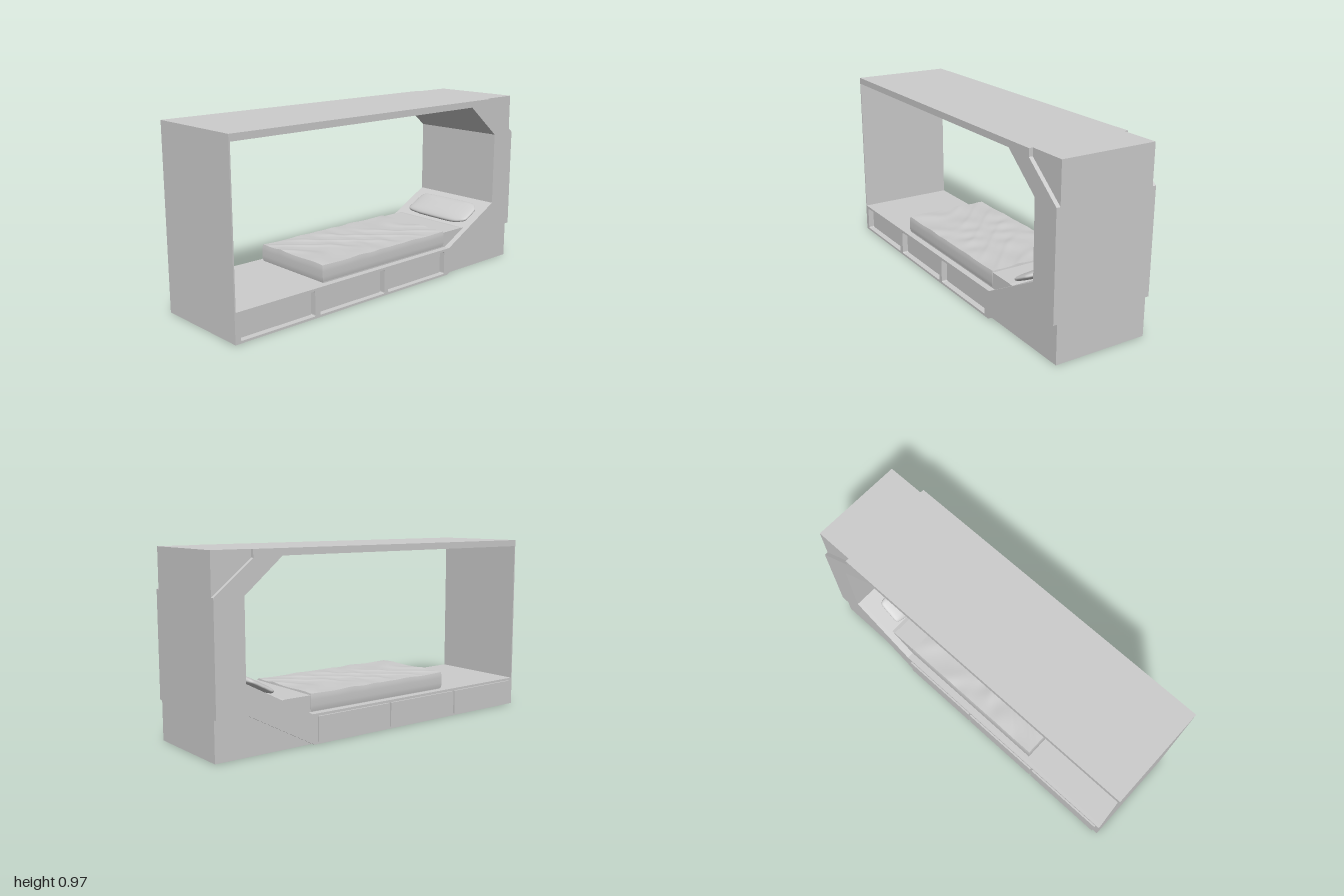
import * as THREE from 'three';

const grey = new THREE.MeshStandardMaterial({ color: 0xcccccc });
grey.name = 'plainGrey';

// Outlines are drawn as (-z, y) and extruded along x.
const OUTER = [[-1, 0], [1, 0], [1, 0.97], [-1, 0.97]];
const PANEL = [[-1, 0], [0.455, 0], [0.835, 0.205], [1, 0.205], [1, 0.76], [0.79, 0.93], [0.79, 0.97], [-1, 0.97]];
const OPENING = [[-0.993, 0.155], [0.465, 0.155], [0.84, 0.355], [0.84, 0.76], [0.63, 0.935], [-0.993, 0.935]];
const RECESSES = [-0.97, -0.493, -0.02];

const points = list => list.map(([u, v]) => new THREE.Vector2(u, v));

function roundedRect(Type, u, v, w, h, r) {
  const p = new Type();
  p.moveTo(u + r, v);
  p.lineTo(u + w - r, v);
  p.quadraticCurveTo(u + w, v, u + w, v + r);
  p.lineTo(u + w, v + h - r);
  p.quadraticCurveTo(u + w, v + h, u + w - r, v + h);
  p.lineTo(u + r, v + h);
  p.quadraticCurveTo(u, v + h, u, v + h - r);
  p.lineTo(u, v + r);
  p.quadraticCurveTo(u, v, u + r, v);
  return p;
}

function slab(name, shape, x0, x1) {
  const g = new THREE.ExtrudeGeometry(shape, { depth: x1 - x0, bevelEnabled: false, curveSegments: 4 });
  g.rotateY(Math.PI / 2).translate(x0, 0, 0);
  const mesh = new THREE.Mesh(g, grey);
  mesh.name = name;
  return mesh;
}

function frameShape(outline, withRecesses) {
  const s = new THREE.Shape(points(outline));
  s.holes.push(new THREE.Path(points(OPENING)));
  if (withRecesses) {
    for (const u of RECESSES) s.holes.push(roundedRect(THREE.Path, u, 0.012, 0.445, 0.13, 0.008));
  }
  return s;
}

// Bedding with soft creases pressed into its top face
function makeBlanket() {
  const g = new THREE.BoxGeometry(0.493, 0.09, 0.9, 50, 6, 90);
  const p = g.attributes.position;
  for (let i = 0; i < p.count; i++) {
    let x = p.getX(i), y = p.getY(i), z = p.getZ(i);
    const t = (y + 0.045) / 0.09;
    const fade = Math.max(0, 1 - Math.pow(Math.abs(x) / 0.25, 6));
    const crease = Math.pow(Math.abs(Math.sin(17 * z + 9 * x + 1.5 * Math.sin(11 * x + 4 * z))), 6);
    const ripple = Math.sin(31 * z - 13 * x + 2 * Math.sin(8 * z)) * Math.sin(14 * x + 6 * z);
    y += t * t * (0.004 * crease * fade + 0.0025 * ripple);
    // side faces bulge a little and tuck in at the top and bottom
    const tuck = 0.004 * Math.pow(2 * t - 1, 4);
    x -= Math.sign(x) * tuck * Math.abs(x) / 0.25;
    z -= Math.sign(z) * tuck * Math.abs(z) / 0.45;
    p.setXYZ(i, x, y, z);
  }
  g.computeVertexNormals();
  const mesh = new THREE.Mesh(g, grey);
  mesh.name = 'blanket';
  mesh.position.set(0.0065, 0.203, 0);
  return mesh;
}

// Squarish cushion: a sphere pushed out towards its corners
function makePillow() {
  const g = new THREE.SphereGeometry(1, 48, 32);
  g.rotateX(Math.PI / 2).rotateX(Math.PI / 2);
  const p = g.attributes.position;
  const push = (v, e) => Math.sign(v) * Math.pow(Math.abs(v), e);
  for (let i = 0; i < p.count; i++) {
    const x = p.getX(i), y = p.getY(i), z = p.getZ(i);
    const r = Math.hypot(x, z) || 1;
    const c = x / r, s = z / r, rr = Math.pow(r, 0.85);
    const wave = 1 + 0.02 * Math.sin(5 * Math.atan2(s, c) + 1);
    p.setXYZ(i, 0.22 * push(c, 0.4) * rr * wave, 0.023 * push(y, 0.8), 0.088 * push(s, 0.4) * rr * wave);
  }
  g.computeVertexNormals();
  const mesh = new THREE.Mesh(g, grey);
  mesh.name = 'pillow';
  mesh.position.set(0.03, 0.305, -0.688);
  mesh.rotation.x = 0.49;
  return mesh;
}

export function createModel() {
  const model = new THREE.Group();
  model.name = 'bunkPod';

  // Shell: inner core, a layer holding the drawer recesses, and outer side panels
  model.add(slab('core', frameShape(OUTER, false), -0.255, 0.25));
  model.add(slab('recessLayer', frameShape(OUTER, true), 0.25, 0.262));
  model.add(slab('leftSidePanel', frameShape(PANEL, true), 0.262, 0.283));
  model.add(slab('rightSidePanel', frameShape(PANEL, false), -0.275, -0.255));

  // Drawer fronts standing proud of the right side
  for (const u of [-0.97, -0.498, -0.026]) {
    const front = roundedRect(THREE.Shape, u, 0.012, 0.46, 0.13, 0.006);
    model.add(slab('drawerFront', front, -0.2745, -0.285 + 0.0005));
  }
  // extrusion ran towards -x, so rebuild those fronts the right way round
  model.children.filter(m => m.name === 'drawerFront').forEach(m => {
    const box = new THREE.Box3().setFromObject(m);
    const size = box.getSize(new THREE.Vector3()), mid = box.getCenter(new THREE.Vector3());
    m.geometry = new THREE.BoxGeometry(size.x, size.y, size.z);
    m.position.copy(mid);
  });

  // Mattress with its head end cut to rest on the slope
  const mattress = new THREE.Shape(points([[-0.44, 0.156], [0.467, 0.156], [0.62, 0.238], [0.6, 0.241], [-0.44, 0.241]]));
  model.add(slab('mattress', mattress, -0.236, 0.25));
  model.add(makeBlanket());
  model.add(makePillow());
  return model;
}
